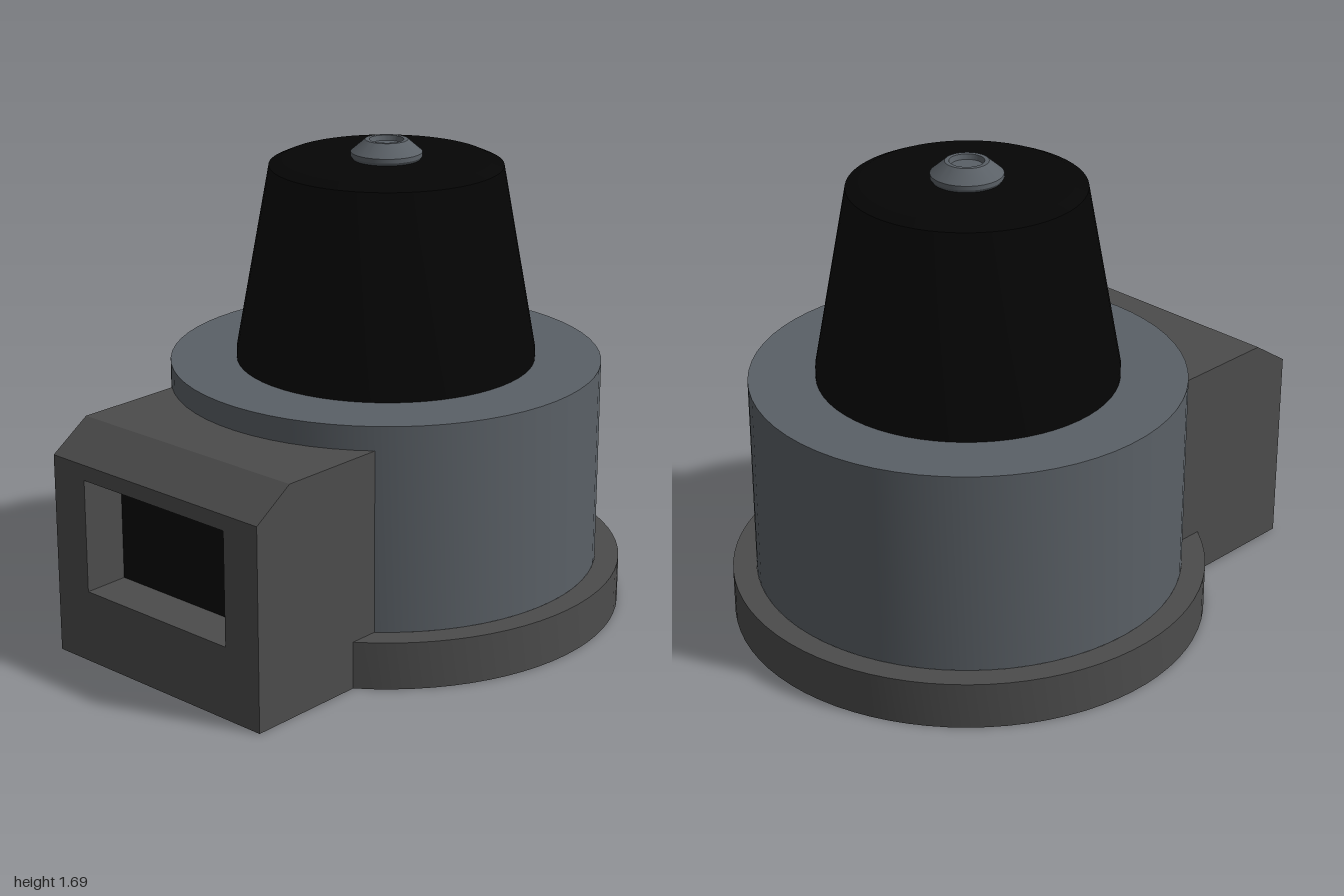
import * as THREE from 'three';
import { toCreasedNormals } from 'three/addons/utils/BufferGeometryUtils.js';

const AXIS = 0.15; // x of the round body's axis
const HALF = 0.48; // half width of the side housing

const paint = (color) => new THREE.MeshStandardMaterial({ color, side: THREE.DoubleSide });

export function createModel() {
  const model = new THREE.Group();
  const steel = paint(0x5a6066);
  const dark = paint(0x4c4c4c);
  const black = paint(0x050505);

  const add = (name, geometry, material, x = 0, y = 0, z = 0) => {
    const mesh = new THREE.Mesh(geometry, material);
    mesh.name = name;
    mesh.position.set(x, y, z);
    model.add(mesh);
    return mesh;
  };
  const lathe = (profile, start = 0, sweep = Math.PI * 2) => toCreasedNormals(
    new THREE.LatheGeometry(profile.map(([r, y]) => new THREE.Vector2(r, y)), 64, start, sweep), 0.35);
  const turned = (name, profile, material, start, sweep) =>
    add(name, lathe(profile, start, sweep), material, AXIS);
  const outline = (points) => new THREE.Shape(points.map(([x, y]) => new THREE.Vector2(x, y)));
  const rectangle = (w, y0, y1) => outline([[-w, y0], [w, y0], [w, y1], [-w, y1]]);

  // Thin base flange, open below and interrupted where the housing joins
  const gap = Math.asin(HALF / 0.85);
  turned('baseFlange', [[0.85, 0], [0.85, 0.17], [0.765, 0.17]],
    dark, Math.PI * 1.5 + gap, Math.PI * 2 - gap * 2);

  // Thin drum, open underneath
  turned('drum', [[0.765, 0.17], [0.765, 0.905], [0.5, 0.905]], steel);

  // Tapered hood continuing down inside the drum, with a bore underneath
  turned('taperedHood', [[0.21, 0.41], [0.53, 0.41], [0.53, 0.945], [0.41, 1.6], [0.365, 1.62], [0, 1.62]], black);
  turned('shaftBore', [[0.21, 0.41], [0.21, 1], [0, 1]], steel);

  // Top nub with a shallow recess
  turned('topNub', [[0.115, 1.615], [0.125, 1.63], [0.125, 1.645], [0.075, 1.688], [0.06, 1.688],
    [0.055, 1.67], [0, 1.67]], steel);

  // Thin housing side walls, reaching into the drum
  const side = outline([[-1, 0], [-0.1, 0], [-0.1, 0.82], [-0.85, 0.82], [-1, 0.72]]);
  add('leftHousingWall', new THREE.ShapeGeometry(side), dark, 0, 0, HALF);
  add('rightHousingWall', new THREE.ShapeGeometry(side), dark, 0, 0, -HALF);

  // Housing roof with its sloped edge
  const roof = outline([[-1, 0.72], [-0.85, 0.82], [-0.45, 0.82], [-0.45, 0.815], [-0.85, 0.815], [-1, 0.715]]);
  add('housingRoof', new THREE.ExtrudeGeometry(roof, { depth: HALF * 2, bevelEnabled: false }), dark, 0, 0, -HALF);

  // End wall with a window, its recessed frame and the dark panel behind
  const end = rectangle(HALF, 0, 0.72);
  end.holes.push(rectangle(0.33, 0.26, 0.665));
  add('windowWall', new THREE.ShapeGeometry(end), dark, -1).rotation.y = Math.PI / 2;
  const frame = rectangle(0.335, 0.255, 0.67);
  frame.holes.push(rectangle(0.33, 0.26, 0.665));
  add('windowFrame', new THREE.ExtrudeGeometry(frame, { depth: 0.17, bevelEnabled: false }), dark, -1)
    .rotation.y = Math.PI / 2;
  add('windowPanel', new THREE.BoxGeometry(0.01, 0.415, 0.67), black, -0.83, 0.4625, 0);

  // Short cable tube under the window
  const tube = lathe([[0.09, 0], [0.12, 0], [0.12, 0.3], [0.09, 0.3], [0.09, 0]]);
  add('cableTube', tube, dark, -0.53, 0.13, 0).rotation.z = Math.PI / 2;

  return model;
}
